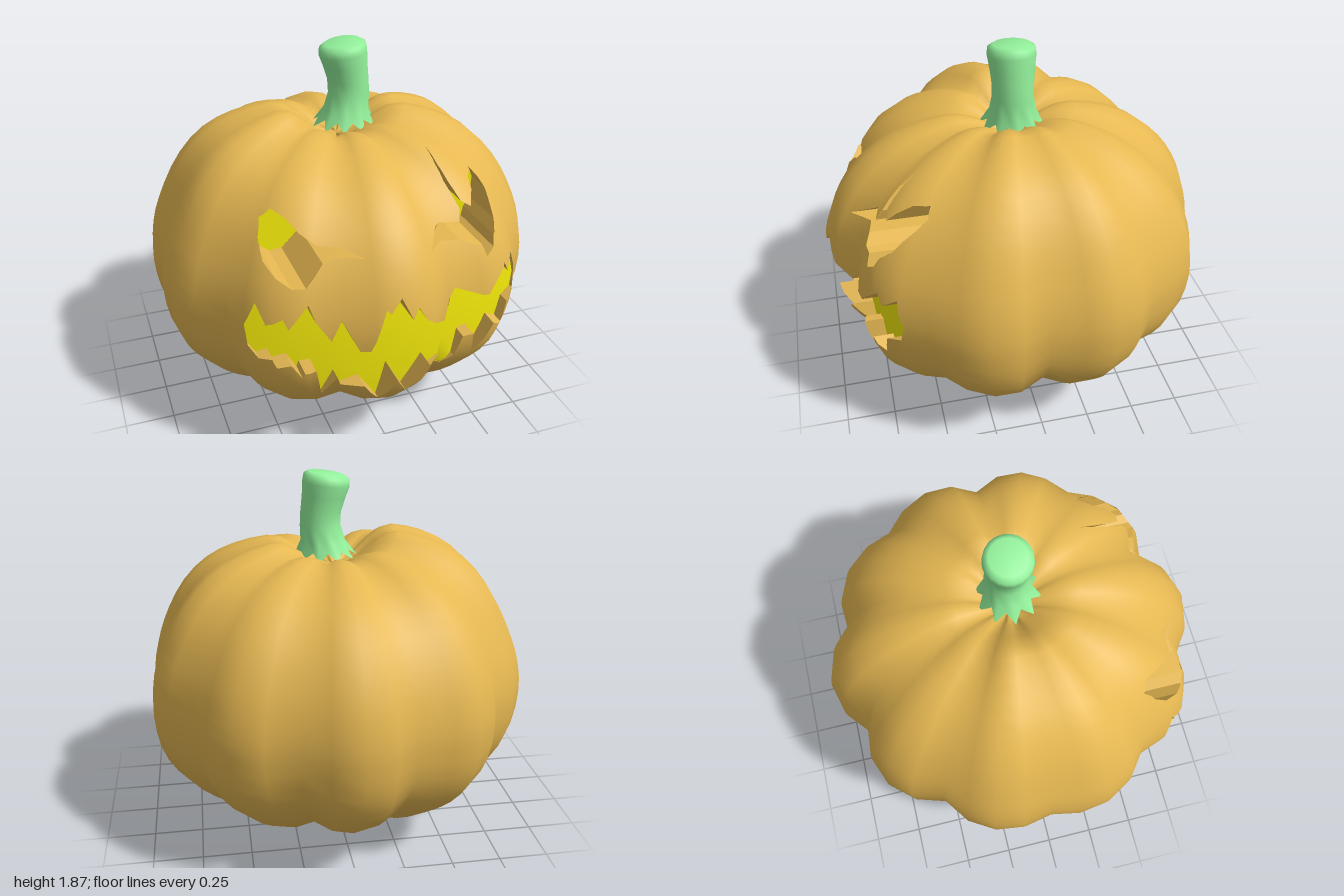
import * as THREE from 'three';
import { mergeVertices } from 'three/addons/utils/BufferGeometryUtils.js';

const { lerp, smoothstep, clamp, euclideanModulo } = THREE.MathUtils;
const MID = 0.75;      // height of the widest part
const LOBES = 10;
const ROWS = 40, COLS = 40;
const STEP = 2 * Math.PI / COLS;

// Ridge profile (radius, height) from the pit underneath to the pit below the stem
const profile = new THREE.SplineCurve([
  [0.004, 0.17], [0.04, 0.1], [0.1, 0.02], [0.2, 0.005], [0.34, 0.04], [0.52, 0.1], [0.71, 0.21],
  [0.873, 0.36], [0.968, 0.53], [1, 0.73], [0.983, 0.9], [0.928, 1.06], [0.83, 1.215], [0.69, 1.345],
  [0.52, 1.435], [0.32, 1.485], [0.19, 1.465], [0.09, 1.42], [0.004, 1.39],
].map(([r, y]) => new THREE.Vector2(r, y)));

// Depth of each crease, going round from the front towards +x
const depths = [0.148, 0.065, 0.136, 0.077, 0.123, 0.127, 0.106, 0.069, 0.096, 0.1];

// 0 on a ridge, 1 in a crease
const crease = (u) => 1 - Math.pow((Math.cos(u * LOBES / 2) ** 2 + 0.01) / 1.01, 0.36);
const ridged = (u) => {
  const k = Math.floor(u / (2 * Math.PI / LOBES) + 1e-6);
  return 1 - depths[euclideanModulo(k, LOBES)] * crease(u);
};
const knot = (u) => {
  const k = Math.floor(u / STEP + 1e-9);
  return { a: k * STEP, b: (k + 1) * STEP, t: u / STEP - k };
};

// Ring radius with straight chords between the columns
function radial(u) {
  const { a, b } = knot(u);
  const ra = ridged(a), rb = ridged(b);
  return ra * rb * Math.sin(STEP) / (ra * Math.sin(u - a) + rb * Math.sin(b - u));
}

// Height on the skin: lower in the creases, shoulders raised at the sides
function height(u, p) {
  const { a, b, t } = knot(u);
  const dip = 1 - 0.06 * lerp(crease(a), crease(b), t);
  const s = Math.sin(u);
  const raise = 0.08 * s ** 4 - 0.02 * s ** 3;
  return MID + (p.y - MID) * dip + raise * smoothstep(p.y, 1.0, 1.4) * smoothstep(p.x, 0.08, 0.34);
}

// Ribbed skin: u runs round from the front, v from bottom to top
function skin(u, v) {
  const p = profile.getPoint(v);
  const r = p.x * radial(u);
  return new THREE.Vector3(r * Math.sin(u), height(u, p), r * Math.cos(u));
}

function knotNormal(u, v) {
  const v0 = Math.max(0, v - 0.01), v1 = Math.min(1, v + 0.01);
  const du = skin(u + STEP, v).sub(skin(u - STEP, v));
  return du.cross(skin(u, v1).sub(skin(u, v0))).normalize();
}

function skinNormal(u, v) {
  const { a, b, t } = knot(u);
  return knotNormal(a, v).lerp(knotNormal(b, v), t).normalize();
}

// Finds (u, v) of the front skin point at a given x, y
function locate(x, y) {
  let u = Math.asin(x), v = 0.5;
  for (let k = 0; k < 80; k++) {
    let lo = 3 / 18, hi = 15 / 18;
    for (let n = 0; n < 24; n++) {
      v = (lo + hi) / 2;
      if (height(u, profile.getPoint(v)) < y) lo = v; else hi = v;
    }
    const s = x / (profile.getPoint(v).x * radial(u));
    u = (u + Math.asin(clamp(s, -1, 1))) / 2;
  }
  return new THREE.Vector2(u, v);
}

// Carved outlines, in hundredths, clockwise from the front
const rightEye = [-51, 130, -46, 128, -42, 123, -35, 118, -25, 116, -16, 113, -27, 112, -34, 111,
  -39, 106, -43, 102, -49, 101.5, -55, 106, -58.5, 111, -58.5, 119, -56, 126];
const leftEye = [30, 144, 34, 133, 38, 125, 43, 122, 47, 131, 51, 132.5, 55, 128, 56.5, 124, 56, 113,
  53, 108, 52, 103, 47.5, 100, 45, 106, 41, 107, 34, 110, 15.5, 110, 25, 117.5, 35, 117.5, 36, 123, 32, 133];
const mouth = [-69, 81, -64, 93, -61, 84, -54, 88, -52, 83, -43, 95, -40, 86, -33, 75, -28, 85, -21, 70,
  -17, 71, -10, 92, -8, 90, -3, 97, 2, 86, 5, 91, 10, 83, 23, 74, 30, 88, 48, 81, 59, 93, 62, 87, 67, 93,
  71, 79, 70, 71, 64, 68, 61, 57, 54, 61, 51, 55, 43, 41, 41, 60, 36, 59, 34, 45, 29, 39, 25, 41, 26, 47,
  18, 43, 16, 51, 6, 35, -3, 51, -7, 31, -17, 46, -26, 43, -29, 51, -35, 38, -40, 59, -45, 58, -46, 55,
  -51, 63, -57, 61, -59, 66, -64, 64, -68, 70];

// Outline in (u, v), with long edges split so that they follow the skin
function outline(list) {
  const pts = [];
  for (let i = 0; i < list.length; i += 2) {
    const j = (i + 2) % list.length;
    const a = new THREE.Vector2(list[i], list[i + 1]).divideScalar(100);
    const b = new THREE.Vector2(list[j], list[j + 1]).divideScalar(100);
    const n = Math.ceil(a.distanceTo(b) / 0.06);
    for (let k = 0; k < n; k++) pts.push(locate(lerp(a.x, b.x, k / n), lerp(a.y, b.y, k / n)));
  }
  return pts;
}

// Triangles in vertical strips, either around the holes or filling them
function strips(holes, fill, put) {
  const edges = holes.flatMap((h) => h.map((p, i) => [p, h[(i + 1) % h.length]]));
  const us = edges.map(([p]) => p.x);
  for (let i = 0; i <= COLS; i++) us.push((i - COLS / 2) * STEP);
  us.sort((a, b) => a - b);
  const cols = us.filter((u, i) => i === 0 || u - us[i - 1] > 1e-6);
  const at = ([p, q], u) => p.y + (q.y - p.y) * (u - p.x) / (q.x - p.x);
  const side = (lo, hi) => {
    const s = [lo];
    for (let r = 1; r < ROWS; r++) if (r / ROWS > lo + 1e-6 && r / ROWS < hi - 1e-6) s.push(r / ROWS);
    if (hi > lo + 1e-7) s.push(hi);
    return s;
  };
  for (let c = 0; c + 1 < cols.length; c++) {
    const a = cols[c], b = cols[c + 1], m = (a + b) / 2;
    const cuts = edges.filter(([p, q]) => (p.x < m) !== (q.x < m))
      .sort((e, f) => at(e, m) - at(f, m)).map((e) => [at(e, a), at(e, b)]);
    const stops = fill ? cuts : [[0, 0], ...cuts, [1, 1]];
    for (let s = 0; s + 1 < stops.length; s += 2) {
      const L = side(stops[s][0], stops[s + 1][0]), R = side(stops[s][1], stops[s + 1][1]);
      let i = 0, j = 0;
      while (i + 1 < L.length || j + 1 < R.length) {
        const left = i + 1 < L.length && (j + 1 >= R.length || L[i + 1] <= R[j + 1]);
        put(a, L[i]);
        put(b, R[j]);
        if (left) put(a, L[++i]); else put(b, R[++j]);
      }
    }
  }
}

function geometryFrom(pos) {
  const g = new THREE.BufferGeometry();
  g.setAttribute('position', new THREE.Float32BufferAttribute(pos, 3));
  return g;
}

function skinGeometry(holes) {
  const pos = [], nor = [];
  strips(holes, false, (u, v) => { pos.push(...skin(u, v)); nor.push(...skinNormal(u, v)); });
  const g = geometryFrom(pos);
  g.setAttribute('normal', new THREE.Float32BufferAttribute(nor, 3));
  return g;
}

// Floors of the carvings: flat behind the eyes, gently bowed behind the mouth
const eyeFloor = () => 0.43;
const mouthFloor = (x, y) => 0.8 - 0.28 * x * x - 0.15 * (y - 0.7) ** 2;
function sink(u, v, floor) {
  const p = skin(u, v);
  p.z = Math.min(p.z - 0.004, floor(p.x, p.y));
  return p;
}

function floorGeometry(hole, floor) {
  const pos = [];
  strips([hole], true, (u, v) => pos.push(...sink(u, v, floor)));
  const g = mergeVertices(geometryFrom(pos), 1e-4);
  g.computeVertexNormals();
  return g;
}

// Flat cut faces running straight back from a hole's edge to its floor
function cutGeometry(hole, floor) {
  const pos = [];
  hole.forEach((p, i) => {
    const q = hole[(i + 1) % hole.length];
    const a = skin(p.x, p.y), b = skin(q.x, q.y);
    const c = sink(p.x, p.y, floor), d = sink(q.x, q.y, floor);
    pos.push(...a, ...c, ...b, ...b, ...c, ...d);
  });
  const g = geometryFrom(pos);
  g.computeVertexNormals();
  return g;
}

// Leaning stem with a tilted top and a pointed skirt lying in the creases
function stemGeometry() {
  const pts = [[0.13, 1.475], [0.115, 1.52], [0.104, 1.6], [0.104, 1.67], [0.111, 1.75], [0.12, 1.81],
    [0.116, 1.845], [0.09, 1.862], [0.0001, 1.865]].map(([r, y]) => new THREE.Vector2(r, y));
  let g = new THREE.LatheGeometry(pts, 20);
  const p = g.attributes.position;
  for (let i = 0; i < p.count; i++) {
    let x = p.getX(i), y = p.getY(i), z = p.getZ(i);
    const tip = Math.floor(i / pts.length) % 2;
    if (i % pts.length === 0) {
      const k = tip ? 1.28 : 0.92;
      x *= k; z *= k; y -= tip * 0.04;
    }
    const t = smoothstep(y, 1.62, 1.86);
    const lean = 0.04 + 0.025 * smoothstep(y, 1.45, 1.6) - 0.035 * t;
    p.setXYZ(i, x + lean, y + 0.15 * x * t, z);
  }
  g.deleteAttribute('uv');
  g.deleteAttribute('normal');
  g = mergeVertices(g, 1e-3);
  g.computeVertexNormals();
  return g;
}

export function createModel() {
  const group = new THREE.Group();
  const material = (color) => new THREE.MeshStandardMaterial({ color, side: THREE.DoubleSide });
  const add = (name, geometry, mat) => group.add(Object.assign(new THREE.Mesh(geometry, mat), { name }));
  const rind = material(0xe6b852), glow = material(0xf8ee0a), green = material(0x94f29c);

  const carvings = [['rightEye', rightEye, eyeFloor], ['leftEye', leftEye, eyeFloor], ['mouth', mouth, mouthFloor]]
    .map(([name, list, floor]) => ({ name, hole: outline(list), floor }));
  add('rind', skinGeometry(carvings.map((c) => c.hole)), rind);
  for (const { name, hole, floor } of carvings) {
    add(name + 'Cut', cutGeometry(hole, floor), rind);
    add(name + 'Floor', floorGeometry(hole, floor), glow);
  }
  add('stem', stemGeometry(), green);
  return group;
}
